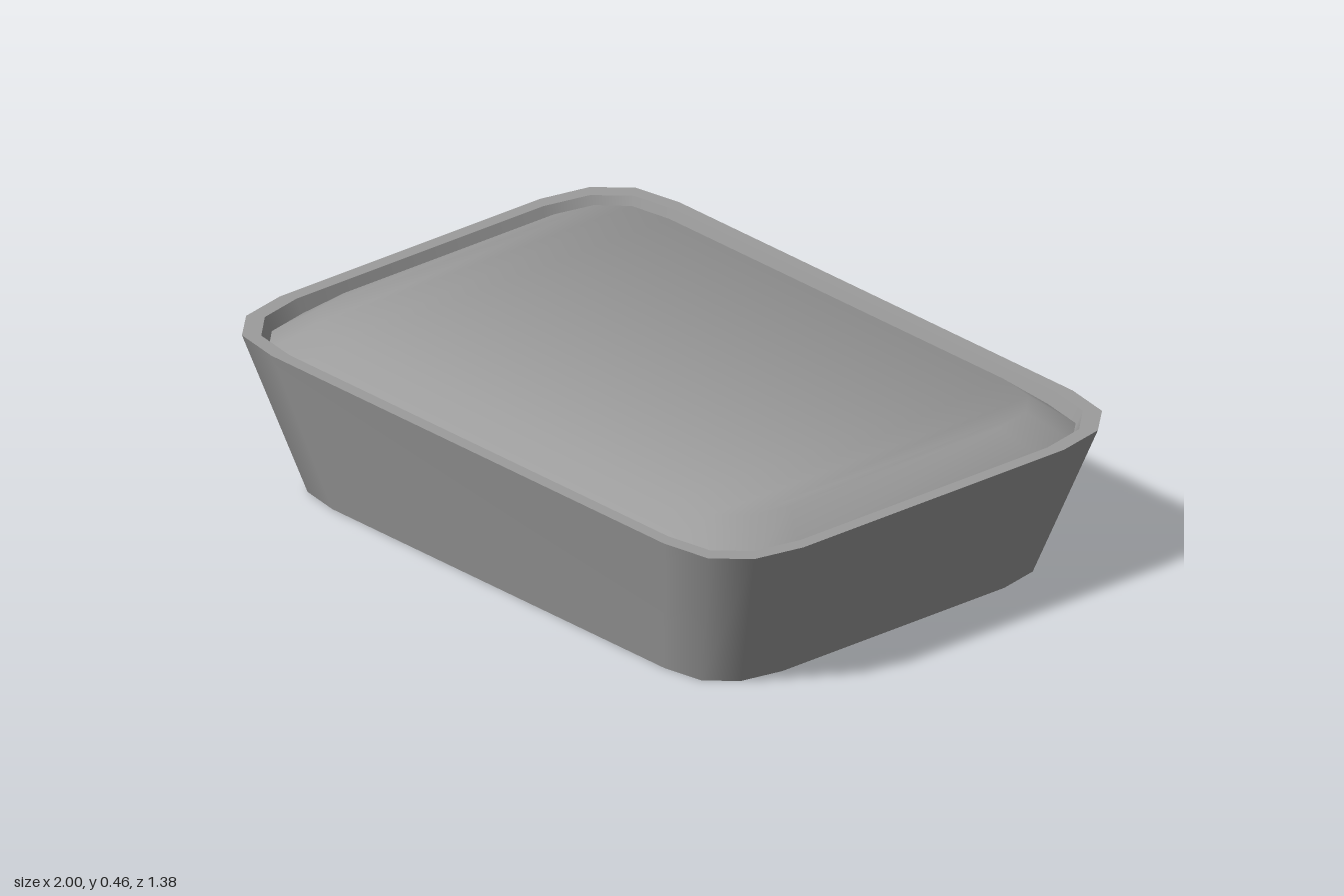
import * as THREE from 'three';

// One quarter of the rim outline, mirrored into a full 16-sided rounded rectangle
const quarter = [[1, 0.44], [0.97, 0.58], [0.89, 0.665], [0.75, 0.69]];
const flipped = [...quarter].reverse();
const outline = [
  ...quarter,
  ...flipped.map(([x, z]) => [-x, z]),
  ...quarter.map(([x, z]) => [-x, -z]),
  ...flipped.map(([x, z]) => [x, -z]),
];
const N = outline.length;

// Smooth normals weighted by corner angle, so large faces do not dominate the shading
function smoothNormals(points, index) {
  const normals = points.map(() => new THREE.Vector3());
  for (let t = 0; t < index.length; t += 3) {
    for (let k = 0; k < 3; k++) {
      const i = index[t + k];
      const u = points[index[t + (k + 1) % 3]].clone().sub(points[i]);
      const v = points[index[t + (k + 2) % 3]].clone().sub(points[i]);
      const angle = u.angleTo(v);
      normals[i].addScaledVector(u.cross(v).normalize(), angle);
    }
  }
  return normals.flatMap((n) => n.normalize().toArray());
}

// Joins scaled copies of the outline, each given as [scaleX, scaleZ, y];
// cap: 1 closes the last ring facing up, -1 facing down
function loft(rings, cap = 0) {
  const points = rings.flatMap(([sx, sz, y]) =>
    outline.map(([x, z]) => new THREE.Vector3(x * sx, y, z * sz)));
  const index = [];
  for (let r = 0; r < rings.length - 1; r++) {
    for (let i = 0; i < N; i++) {
      const a = r * N + i, b = r * N + (i + 1) % N;
      index.push(a, a + N, b, b, a + N, b + N);
    }
  }
  const base = (rings.length - 1) * N;
  for (let i = 0; cap && i < N / 2 - 1; i++) {
    const a = base + i, b = a + 1, c = base + N - 2 - i, d = c + 1;
    if (cap > 0) index.push(a, c, b, a, d, c);
    else index.push(a, b, c, a, c, d);
  }
  const geometry = new THREE.BufferGeometry().setFromPoints(points);
  geometry.setIndex(index);
  geometry.setAttribute('normal', new THREE.Float32BufferAttribute(smoothNormals(points, index), 3));
  return geometry;
}

export function createModel() {
  const model = new THREE.Group();
  const material = new THREE.MeshStandardMaterial({ color: 0x9c9c9c });
  const add = (parent, name, rings, cap) => {
    const mesh = new THREE.Mesh(loft(rings, cap), material);
    mesh.name = name;
    parent.add(mesh);
  };

  const bottom = [0.845, 0.85, 0];
  const rimOuter = [1, 1, 0.42];
  const rimInner = [0.962, 0.947, 0.42];
  const floor = [0.82, 0.81, 0.04];

  // Tapered dish, with each surface separate so its edges stay sharp
  const dish = new THREE.Group();
  dish.name = 'dish';
  add(dish, 'outerWall', [bottom, rimOuter]);
  add(dish, 'rim', [rimOuter, rimInner]);
  add(dish, 'innerWall', [rimInner, floor]);
  add(dish, 'innerFloor', [floor], 1);
  add(dish, 'underside', [bottom], -1);
  model.add(dish);

  // Filling with a sloped edge rising just above the rim, smoothly shaded
  add(model, 'filling', [[0.946, 0.93, 0.383], [0.85, 0.803, 0.456]], 1);

  return model;
}
